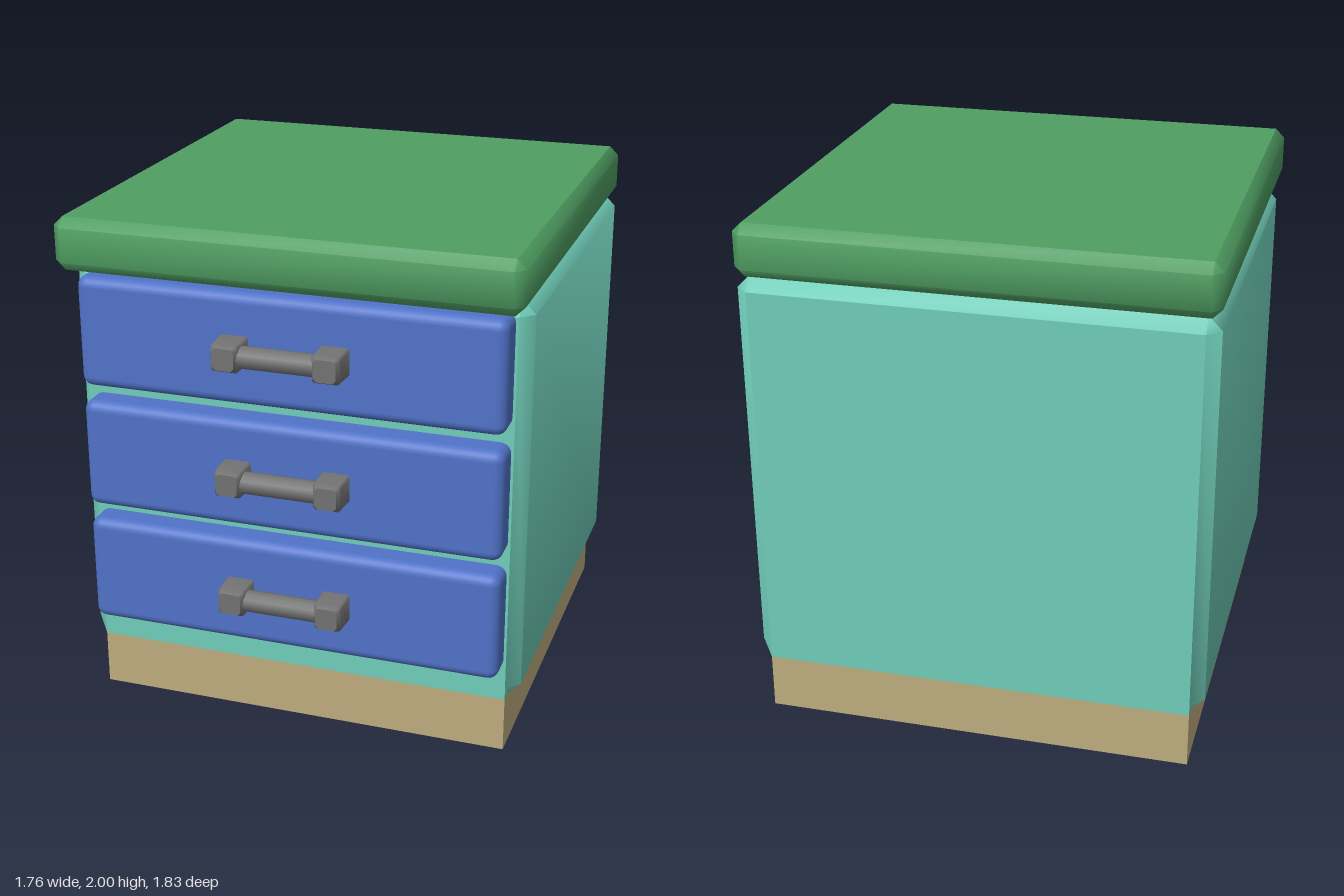
import * as THREE from 'three';
import { mergeGeometries, toCreasedNormals } from 'three/addons/utils/BufferGeometryUtils.js';
import { RoundedBoxGeometry } from 'three/addons/geometries/RoundedBoxGeometry.js';

// Rectangle x0..x1, y0..y1 with corners cut by c, counter-clockwise
function octagon(x0, x1, y0, y1, c) {
  return [
    [x1 - c, y0], [x1, y0 + c], [x1, y1 - c], [x1 - c, y1],
    [x0 + c, y1], [x0, y1 - c], [x0, y0 + c], [x0 + c, y0],
  ];
}

// Pull every point of a ring inside a rectangle
function clampRing(ring, x0, x1, y0, y1) {
  const clamp = THREE.MathUtils.clamp;
  return ring.map(([x, y]) => [clamp(x, x0, x1), clamp(y, y0, y1)]);
}

function fromPositions(positions) {
  const g = new THREE.BufferGeometry();
  g.setAttribute('position', new THREE.Float32BufferAttribute(positions, 3));
  g.computeVertexNormals();
  return g;
}

// Join rings stacked along +z; softened walls, flat end caps
function loft(sections, hardStart = false) {
  const rings = sections.map(([z, ring]) => ring.map(([x, y]) => [x, y, z]));
  const n = rings[0].length;
  const wall = (from, to) => {
    const p = [];
    for (let r = from; r < to; r++) {
      for (let i = 0; i < n; i++) {
        const j = (i + 1) % n;
        const a = rings[r][i], b = rings[r][j], c = rings[r + 1][j], d = rings[r + 1][i];
        p.push(...a, ...b, ...c, ...a, ...c, ...d);
      }
    }
    return toCreasedNormals(fromPositions(p), 0.9);
  };
  const last = rings.length - 1;
  const caps = [];
  for (let i = 1; i < n - 1; i++) {
    caps.push(...rings[0][0], ...rings[0][i + 1], ...rings[0][i]);
    caps.push(...rings[last][0], ...rings[last][i], ...rings[last][i + 1]);
  }
  const walls = hardStart ? [wall(0, 1), wall(1, last)] : [wall(0, last)];
  return mergeGeometries([...walls, fromPositions(caps)]);
}

export function createModel() {
  const model = new THREE.Group();
  model.name = 'bedsideCabinet';

  const material = (name, color) => {
    const m = new THREE.MeshStandardMaterial({ color });
    m.name = name;
    return m;
  };
  const green = material('green top', 0x4f9e62);
  const teal = material('teal body', 0x70cdb9);
  const blue = material('blue drawers', 0x5072c8);
  const tan = material('tan base', 0xbdac7d);
  const grey = material('grey handles', 0x727272);

  const add = (parent, name, geometry, mat, x = 0, y = 0, z = 0) => {
    const mesh = new THREE.Mesh(geometry, mat);
    mesh.name = name;
    mesh.position.set(x, y, z);
    parent.add(mesh);
    return mesh;
  };

  // Plinth
  add(model, 'base', new THREE.BoxGeometry(1.66, 0.22, 1.605), tan, 0, 0.11, -0.1125);

  // Body with chamfered sides and top
  const section = octagon(-0.88, 0.88, 0.22, 1.8, 0.05);
  const end = clampRing(section, -0.83, 0.83, 0.22, 1.75);
  add(model, 'body', loft([[-0.915, end], [-0.865, section], [0.64, section], [0.69, end]], true), teal);

  // Worktop, chamfered on every edge
  const c = 0.036;
  const outline = octagon(-0.88, 0.88, -0.85, 0.915, c);
  const inset = clampRing(outline, -0.88 + c, 0.88 - c, -0.85 + c, 0.915 - c);
  const top = loft([[1.797, inset], [1.797 + c, outline], [2 - c, outline], [2, inset]]);
  top.rotateX(-Math.PI / 2);
  add(model, 'worktop', top, green);

  // Shared drawer and handle shapes
  const drawerFront = new RoundedBoxGeometry(1.64, 0.432, 0.24, 3, 0.04);
  const square = (s, cut) => octagon(-s, s, -s, s, cut);
  const post = loft([
    [0.78, square(0.056, 0.008)],
    [0.895, square(0.052, 0.008)],
    [0.915, square(0.042, 0.012)],
  ]);
  const bar = new THREE.CylinderGeometry(0.042, 0.042, 0.32, 12);
  bar.rotateZ(Math.PI / 2);

  // Three drawers with bar handles
  for (const y of [0.569, 1.06, 1.552]) {
    const drawer = new THREE.Group();
    drawer.name = 'drawer';
    drawer.position.y = y;
    add(drawer, 'drawerFront', drawerFront, blue, 0, 0, 0.68);
    add(drawer, 'handleBar', bar, grey, 0, 0.002, 0.862);
    for (const side of [-1, 1]) add(drawer, 'handlePost', post, grey, side * 0.192, 0.002, 0);
    model.add(drawer);
  }

  return model;
}
